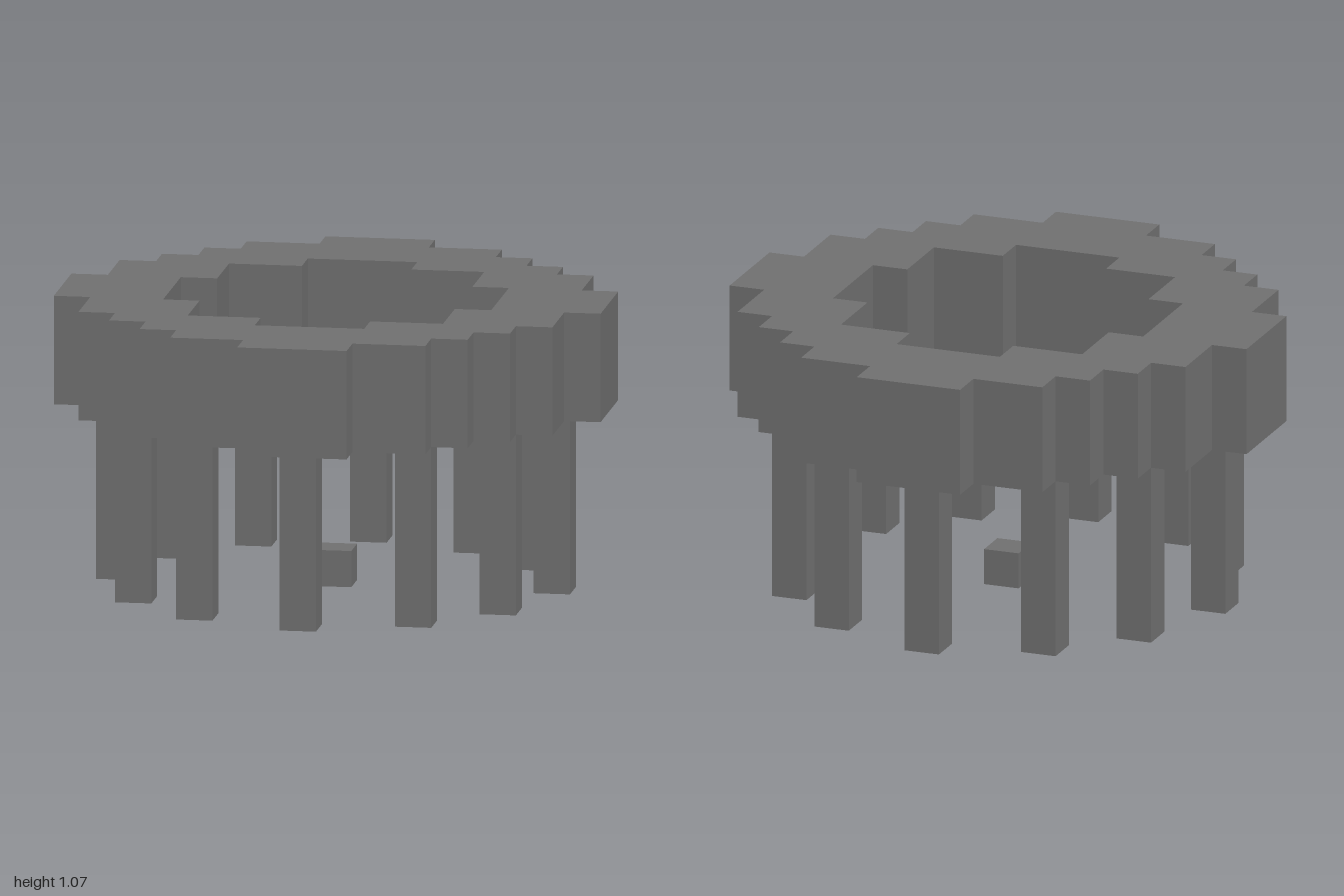
import * as THREE from 'three';

const U = 2 / 15; // one block

// Repeats a quarter outline (in blocks) four times around the centre
function steppedLoop(quarter) {
  const points = [];
  for (let turn = 0; turn < 4; turn++) {
    for (const [x, y] of quarter) {
      const p = new THREE.Vector2(x * U, y * U);
      for (let i = 0; i < turn; i++) p.set(-p.y, p.x);
      points.push(p);
    }
  }
  return points;
}

export function createModel() {
  const model = new THREE.Group();
  model.name = 'blockRingOnLegs';
  const stone = new THREE.MeshStandardMaterial({ color: 0x707070 });
  stone.name = 'grey stone';

  // Stepped ring with a stepped opening
  const outline = new THREE.Shape(steppedLoop([
    [7.5, 1.5], [6.5, 1.5], [6.5, 3.5], [5.5, 3.5], [5.5, 4.5], [4.5, 4.5],
    [4.5, 5.5], [3.5, 5.5], [3.5, 6.5], [1.5, 6.5], [1.5, 7.5],
  ]));
  outline.holes.push(new THREE.Path(steppedLoop([
    [4.5, 1.5], [3.5, 1.5], [3.5, 3.5], [1.5, 3.5], [1.5, 4.5],
  ])));
  const ringGeometry = new THREE.ExtrudeGeometry(outline, { depth: 3 * U, bevelEnabled: false });
  ringGeometry.rotateX(-Math.PI / 2);
  const ring = new THREE.Mesh(ringGeometry, stone);
  ring.name = 'ring';
  ring.position.y = 5 * U;
  model.add(ring);

  // Twelve square legs in a circle
  const legs = new THREE.Group();
  legs.name = 'legs';
  const legGeometry = new THREE.BoxGeometry(U, 5 * U, U);
  for (const [x, z] of [[6, 0], [5, 3], [3, 5]]) {
    for (const [lx, lz] of [[x, z], [-z, x], [-x, -z], [z, -x]]) {
      const leg = new THREE.Mesh(legGeometry, stone);
      leg.name = 'leg';
      leg.position.set(lx * U, 2.5 * U, lz * U);
      legs.add(leg);
    }
  }
  model.add(legs);

  // Single block on the floor in the middle
  const block = new THREE.Mesh(new THREE.BoxGeometry(U, U, U), stone);
  block.name = 'centreBlock';
  block.position.y = U / 2;
  model.add(block);

  return model;
}
